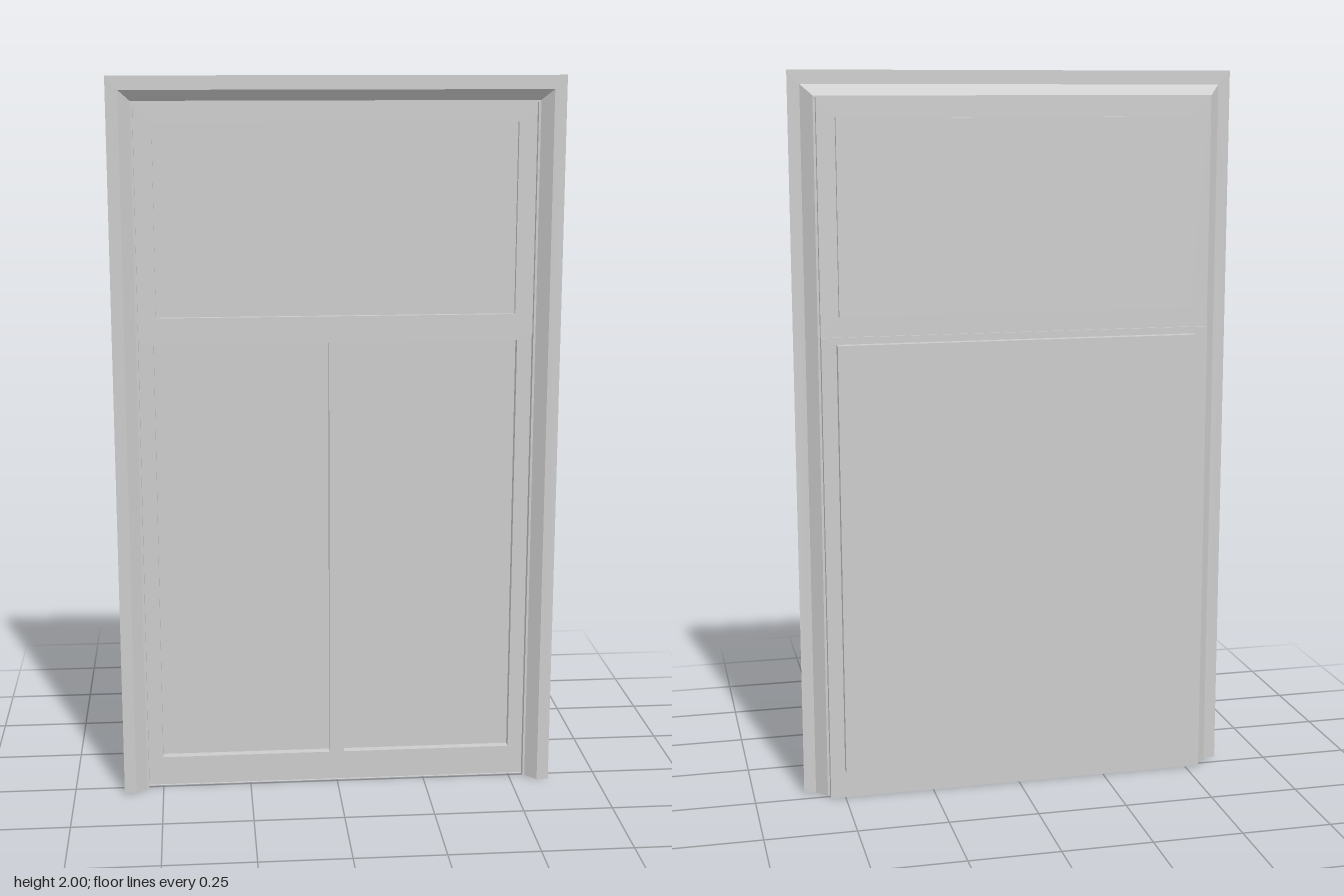
import * as THREE from 'three';

const material = new THREE.MeshStandardMaterial({ color: 0xcccccc, flatShading: true, side: THREE.DoubleSide });

// Skin between successive rings of points, each listed counter-clockwise from the front
function loft(name, rings, closed, cap) {
  const n = rings[0].length;
  const index = [];
  for (let r = 0; r < rings.length - 1; r++) {
    for (let j = 0; j < (closed ? n : n - 1); j++) {
      const k = (j + 1) % n;
      const a = r * n + j, b = r * n + k, c = b + n, d = a + n;
      index.push(a, b, c, a, c, d);
    }
  }
  if (cap) {
    const s = (rings.length - 1) * n;
    index.push(s, s + 1, s + 2, s, s + 2, s + 3);
  }
  const indexed = new THREE.BufferGeometry();
  indexed.setAttribute('position', new THREE.Float32BufferAttribute(rings.flat(2), 3));
  indexed.setIndex(index);
  const geometry = indexed.toNonIndexed();
  geometry.computeVertexNormals();
  const mesh = new THREE.Mesh(geometry, material);
  mesh.name = name;
  return mesh;
}

// Rectangle ring of half width w between two heights at depth z
const rect = (w, y0, y1, z) => [[-w, y0, z], [w, y0, z], [w, y1, z], [-w, y1, z]];

// Door-shaped ring, open at the bottom
const arch = (w, h, z) => [[w, 0, z], [w, h, z], [-w, h, z], [-w, 0, z]];

export function createModel() {
  const group = new THREE.Group();
  group.name = 'panelledWindow';

  const frontZ = 0.039, upperZ = -0.009, lowerZ = -0.015;
  const upperPanelZ = -0.023, lowerPanelZ = -0.039;
  const innerW = 0.541, innerTop = 1.928, railY = 1.3;

  // Flat casing, sloping reveal, narrow lip and inner return
  group.add(loft('frame', [
    arch(0.61, 2, frontZ),
    arch(0.577, 1.963, frontZ),
    arch(0.547, 1.934, 0.007),
    arch(innerW, innerTop, 0.007),
    arch(innerW, innerTop, upperZ),
  ], false, false));

  // Upper sash with its recessed pane
  group.add(loft('upperSash', [
    rect(innerW, railY, innerTop, upperZ),
    rect(0.492, 1.355, 1.877, upperZ),
    rect(0.492, 1.355, 1.877, upperPanelZ),
  ], true, true));

  // Lower sash, set slightly further back, with a deeper recess
  group.add(loft('lowerSash', [
    rect(innerW, 0, railY, upperZ),
    rect(innerW, 0, railY, lowerZ),
    rect(0.5, 0.083, 1.281, lowerZ),
    rect(0.5, 0.083, 1.281, lowerPanelZ),
  ], true, true));

  // Centre mullion standing in the lower recess
  group.add(loft('mullion', [
    rect(0.021, 0.083, 1.281, lowerPanelZ),
    rect(0.021, 0.083, 1.281, lowerZ),
  ], true, true));

  return group;
}
